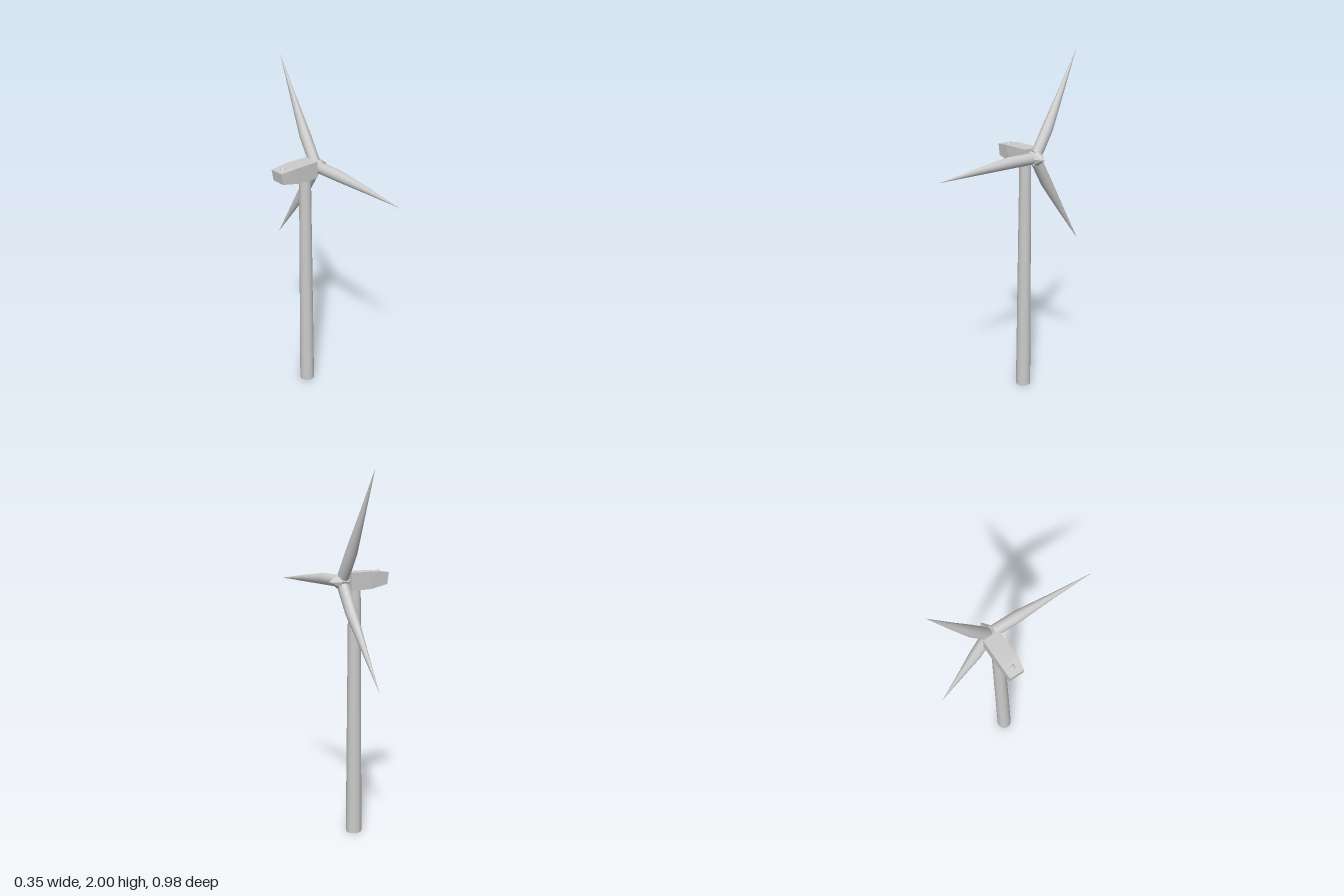
import * as THREE from 'three';

const HUB = { x: 0.097, y: 1.432, z: -0.147 };
const material = new THREE.MeshStandardMaterial({ color: 0xcccccc });
const flatMaterial = new THREE.MeshStandardMaterial({ color: 0xcccccc, flatShading: true });

function addMesh(parent, name, geometry, mat, x = 0, y = 0, z = 0) {
  const mesh = new THREE.Mesh(geometry, mat);
  mesh.name = name;
  mesh.position.set(x, y, z);
  parent.add(mesh);
  return mesh;
}

// Round root, then a taper whose trailing edge stays straight
function bladeGeometry() {
  // distance from the hub, half thickness, half chord
  const stations = [
    [0.026, 0.032, 0.032],
    [0.18, 0.032, 0.032],
    [0.4, 0.0145, 0.018],
    [0.638, 0.0005, 0.0005],
  ];
  const geometry = new THREE.CylinderGeometry(1, 1, 1, 14, stations.length - 1);
  const p = geometry.attributes.position;
  for (let i = 0; i < p.count; i++) {
    const [r, thick, chord] = stations[Math.round((p.getY(i) + 0.5) * (stations.length - 1))];
    p.setXYZ(i, p.getX(i) * thick, r, p.getZ(i) * chord + 0.032 - chord);
  }
  geometry.computeVertexNormals();
  return geometry;
}

// Box with four lengthwise sections, narrowed and lifted at the tail
function nacelleGeometry() {
  // top x, bottom x, bottom y, top y, back z, front z
  const sections = [
    [-0.178, -0.167, 1.407, 1.472, -0.197, -0.114],
    [-0.1, -0.06, 1.387, 1.48, -0.2, -0.102],
    [0.0, 0.0, 1.385, 1.48, -0.2, -0.101],
    [0.066, 0.066, 1.385, 1.48, -0.2, -0.101],
  ];
  const geometry = new THREE.BoxGeometry(1, 1, 1, sections.length - 1, 1, 1);
  const p = geometry.attributes.position;
  for (let i = 0; i < p.count; i++) {
    const s = sections[Math.round((p.getX(i) + 0.5) * (sections.length - 1))];
    const top = p.getY(i) > 0;
    p.setXYZ(i, top ? s[0] : s[1], top ? s[3] : s[2], p.getZ(i) > 0 ? s[5] : s[4]);
  }
  geometry.computeVertexNormals();
  return geometry;
}

export function createModel() {
  const model = new THREE.Group();
  model.name = 'windTurbine';

  // Tapered tower
  addMesh(model, 'tower', new THREE.CylinderGeometry(0.034, 0.045, 1.39, 12), material, 0.016, 0.695, -0.148);

  // Nacelle with its beacon
  addMesh(model, 'nacelle', nacelleGeometry(), flatMaterial);
  addMesh(model, 'beacon', new THREE.IcosahedronGeometry(0.015, 0), flatMaterial, -0.134, 1.474, -0.153);

  // Rotor turning about the x axis
  const rotor = new THREE.Group();
  rotor.name = 'rotor';
  rotor.position.set(HUB.x, HUB.y, HUB.z);
  model.add(rotor);

  const hub = addMesh(rotor, 'hub', new THREE.CylinderGeometry(0.037, 0.033, 0.06, 8), flatMaterial, -0.005);
  hub.rotation.z = -Math.PI / 2;
  const nose = addMesh(rotor, 'noseCone', new THREE.ConeGeometry(0.04, 0.053, 8), flatMaterial, 0.0505);
  nose.rotation.z = -Math.PI / 2;

  const blade = bladeGeometry();
  for (let i = 0; i < 3; i++) {
    const mesh = addMesh(rotor, `blade${i + 1}`, blade, material);
    mesh.rotation.x = Math.PI / 2 + (i * Math.PI * 2) / 3;
  }

  return model;
}
